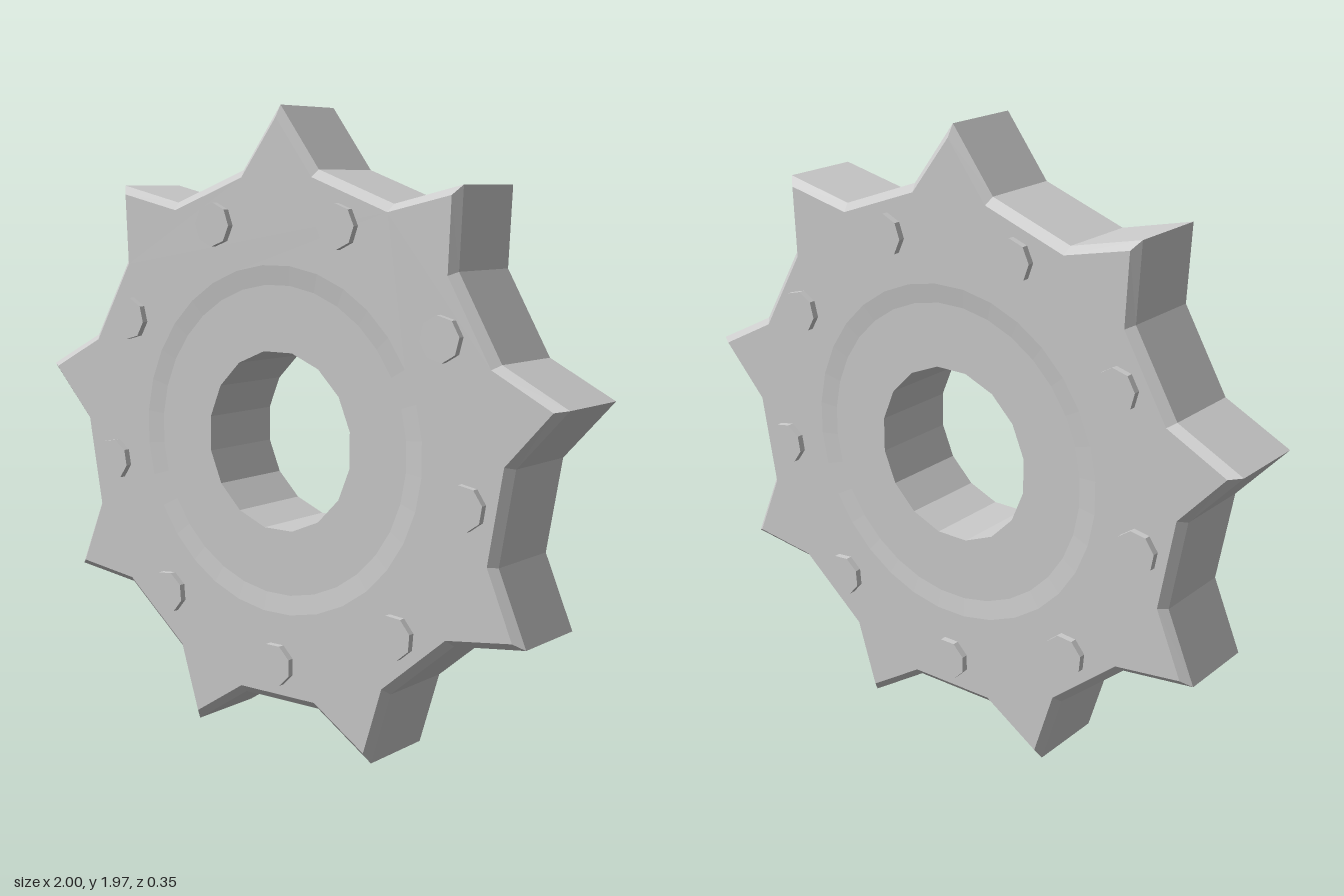
import * as THREE from 'three';

const TEETH = 9, CENTER_Y = 0.954;
const FACE_Z = 0.154, EDGE_Z = 0.13, DISH_Z = 0.146;
const material = new THREE.MeshStandardMaterial({ color: 0xcccccc, flatShading: true });

// Counter-clockwise star outline: each tooth has one tip and two root points
function starLoop(tip, root, halfAngle) {
  const points = [];
  for (let i = 0; i < TEETH; i++) {
    const mid = Math.PI / 2 + (i * 2 * Math.PI) / TEETH;
    for (const [r, a] of [[root, -halfAngle], [tip, 0], [root, halfAngle]]) {
      points.push(new THREE.Vector2(r * Math.cos(mid + a), r * Math.sin(mid + a)));
    }
  }
  return points;
}

function circleLoop(radius, sides) {
  return Array.from({ length: sides }, (_, i) => {
    const a = ((i + 0.5) * 2 * Math.PI) / sides;
    return new THREE.Vector2(radius * Math.cos(a), radius * Math.sin(a));
  });
}

// Skin between successive [outline, z] sections
function loft(sections) {
  const positions = [];
  for (let s = 0; s + 1 < sections.length; s++) {
    const [a, za] = sections[s], [b, zb] = sections[s + 1];
    for (let i = 0; i < a.length; i++) {
      const j = (i + 1) % a.length;
      const A = [a[i].x, a[i].y, za], B = [a[j].x, a[j].y, za];
      const C = [b[j].x, b[j].y, zb], D = [b[i].x, b[i].y, zb];
      positions.push(...A, ...B, ...C, ...A, ...C, ...D);
    }
  }
  const geometry = new THREE.BufferGeometry();
  geometry.setAttribute('position', new THREE.Float32BufferAttribute(positions, 3));
  geometry.computeVertexNormals();
  return geometry;
}

// Flat face with a hole
function plate(outer, inner, z) {
  const shape = new THREE.Shape(outer);
  shape.holes.push(new THREE.Path(inner));
  return new THREE.ShapeGeometry(shape).translate(0, 0, z);
}

function add(parent, name, geometry) {
  const mesh = new THREE.Mesh(geometry, material);
  mesh.name = name;
  parent.add(mesh);
  return mesh;
}

export function createModel() {
  const model = new THREE.Group();
  model.name = 'toothedWheel';
  const wheel = new THREE.Group();
  wheel.name = 'wheel';
  wheel.position.y = CENTER_Y;
  model.add(wheel);

  const deg = Math.PI / 180;
  const outer = starLoop(1.0154, 0.836, 10 * deg);
  const inset = starLoop(0.978, 0.812, 9.6 * deg);
  const dishOuter = circleLoop(0.54, 32);
  const dishInner = circleLoop(0.48, 32);
  const bore = circleLoop(0.28, 16);

  // Toothed rim with bevelled edges, and the bore wall
  add(wheel, 'toothedRim', loft([[inset, -FACE_Z], [outer, -EDGE_Z], [outer, EDGE_Z], [inset, FACE_Z]]));
  add(wheel, 'bore', loft([[bore, DISH_Z], [bore, -DISH_Z]]));

  // Both sides carry the same face, shallow dish and bolts
  for (const side of ['front', 'back']) {
    const half = new THREE.Group();
    half.name = side + 'Side';
    if (side === 'back') half.rotation.y = Math.PI;
    wheel.add(half);

    add(half, side + 'Face', plate(inset, dishOuter, FACE_Z));
    add(half, side + 'DishSlope', loft([[dishOuter, FACE_Z], [dishInner, DISH_Z]]));
    add(half, side + 'DishFloor', plate(dishInner, bore, DISH_Z));

    // One octagonal bolt between each pair of teeth
    const boltGeometry = new THREE.CylinderGeometry(0.068, 0.068, 0.035, 8)
      .rotateY(Math.PI / 8)
      .rotateX(Math.PI / 2)
      .translate(0, -0.7, 0.1575);
    for (let i = 0; i < TEETH; i++) {
      add(half, side + 'Bolt', boltGeometry).rotation.z = (i * 2 * Math.PI) / TEETH;
    }
  }
  return model;
}
